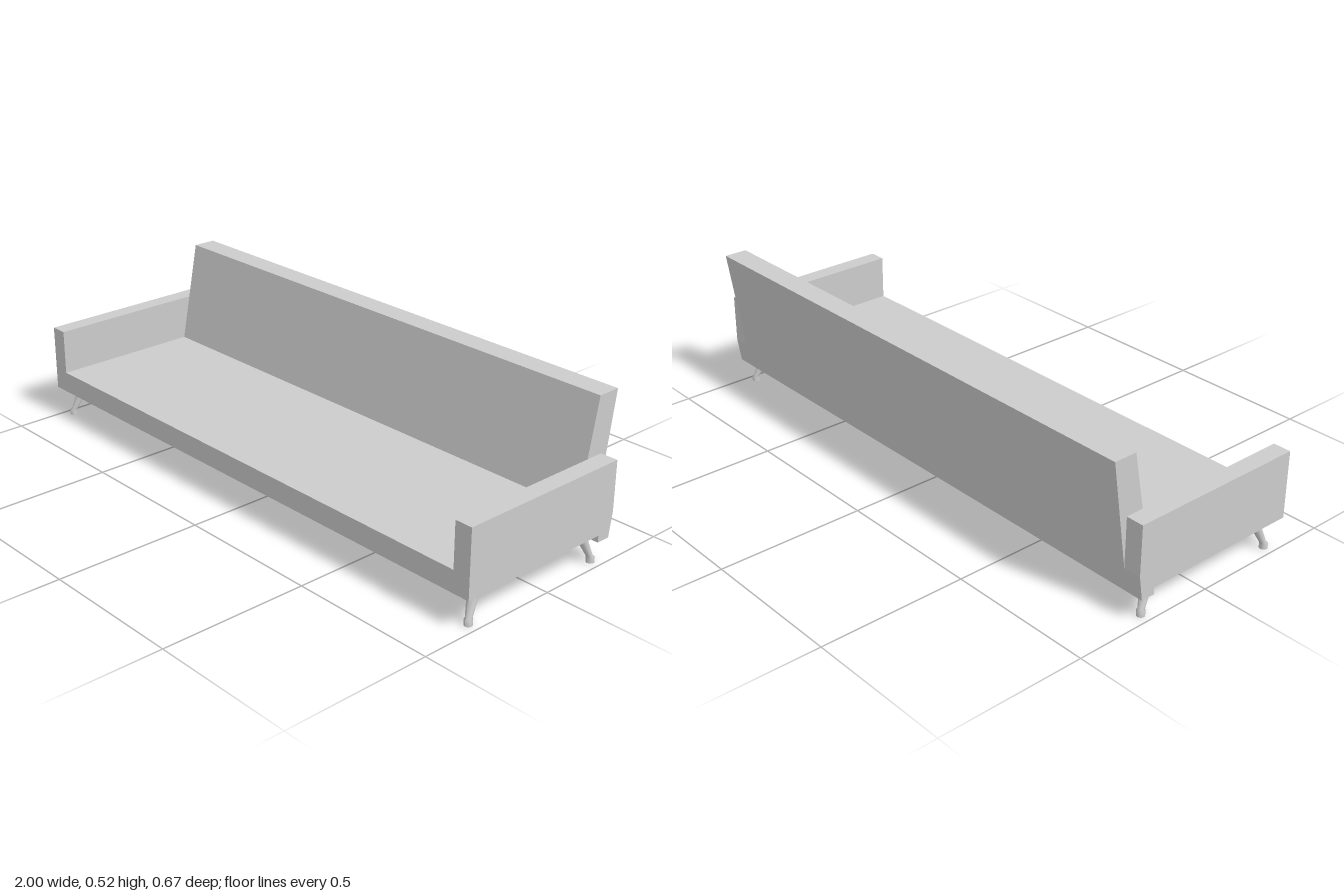
import * as THREE from 'three';

const material = new THREE.MeshStandardMaterial({ color: 0xcccccc });

// Extrudes a side profile of [z, y] points across x, centred on cx
function sideExtrude(name, points, width, cx) {
  const shape = new THREE.Shape(points.map(([z, y]) => new THREE.Vector2(z, y)));
  const geometry = new THREE.ExtrudeGeometry(shape, { depth: width, bevelEnabled: false });
  geometry.rotateY(-Math.PI / 2).translate(cx + width / 2, 0, 0);
  const mesh = new THREE.Mesh(geometry, material);
  mesh.name = name;
  return mesh;
}

// Leg sections from top to foot: height, centre x, radius x, centre z, radius z
const LEG_SECTIONS = [
  [0.106, 0.953, 0.018, 0.268, 0.0175],
  [0.082, 0.953, 0.018, 0.268, 0.0175],
  [0.022, 0.965, 0.011, 0.294, 0.011],
  [0.016, 0.967, 0.0135, 0.2975, 0.0135],
  [0, 0.967, 0.0135, 0.2975, 0.0135],
];
const LEG_MID_Z = 0.032;

// Splayed tapering leg with a thicker foot
function makeLeg(name, sideX, sideZ) {
  const rows = LEG_SECTIONS.length - 1;
  const geometry = new THREE.CylinderGeometry(1, 1, 1, 12, rows);
  const p = geometry.attributes.position;
  for (let i = 0; i < p.count; i++) {
    const [y, cx, rx, cz, rz] = LEG_SECTIONS[Math.round((0.5 - p.getY(i)) * rows)];
    p.setXYZ(i,
      sideX * cx + p.getX(i) * rx,
      y,
      LEG_MID_Z + sideZ * (cz - LEG_MID_Z) + p.getZ(i) * rz);
  }
  geometry.computeVertexNormals();
  const mesh = new THREE.Mesh(geometry, material);
  mesh.name = name;
  return mesh;
}

export function createModel() {
  const sofa = new THREE.Group();
  sofa.name = 'sofa';

  // Seat and leaning backrest share one profile
  sofa.add(sideExtrude('seatAndBackrest', [
    [0.337, 0.105], [0.337, 0.178], [-0.189, 0.178], [-0.257, 0.523],
    [-0.337, 0.523], [-0.268, 0.082], [-0.22, 0.082], [-0.22, 0.105],
  ], 1.88, 0));

  // Arms, with the lower back edge following the backrest
  const armProfile = [
    [0.337, 0.105], [0.337, 0.332], [-0.281, 0.332], [-0.281, 0.165],
    [-0.268, 0.082], [-0.22, 0.082], [-0.22, 0.105],
  ];
  for (const [side, sx] of [['left', 1], ['right', -1]]) {
    sofa.add(sideExtrude(`${side}Arm`, armProfile, 0.06, sx * 0.97));
    sofa.add(makeLeg(`${side}FrontLeg`, sx, 1));
    sofa.add(makeLeg(`${side}BackLeg`, sx, -1));
  }

  // Recessed base between the legs
  const base = new THREE.Mesh(new THREE.BoxGeometry(1.92, 0.023, 0.505), material);
  base.name = 'base';
  base.position.set(0, 0.0935, 0.0325);
  sofa.add(base);

  return sofa;
}
